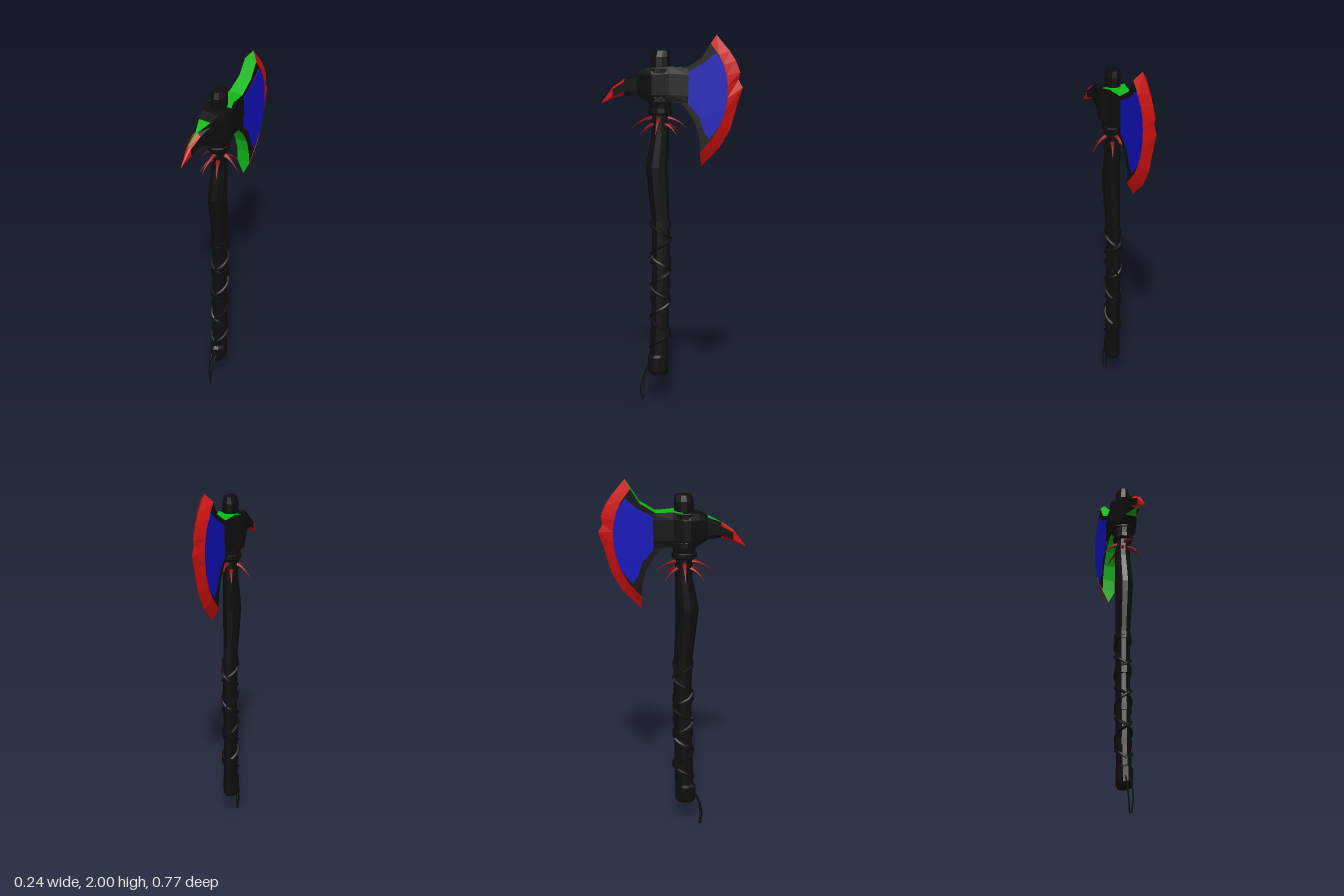
import * as THREE from 'three';

const flat = (name, color) => {
  const m = new THREE.MeshStandardMaterial({ color });
  m.name = name;
  return m;
};

export function createModel() {
  const black = flat('black', 0x0e0e0e), red = flat('red', 0xcc1010), green = flat('green', 0x10b818);
  const blue = flat('blue', 0x1010b8), darkRed = flat('dark red', 0x861414);
  const mats = [black, red, green];
  const root = new THREE.Group();
  root.name = 'battleAxe';
  const CZ = 0.06; // centre of the shaft

  const add = (name, geo, mat, parent = root) => {
    const mesh = new THREE.Mesh(geo, mat);
    mesh.name = name;
    parent.add(mesh);
    return mesh;
  };

  // Skin over closed rings; pick(segment, side) gives the material index, segment -1 and 'end' are caps
  const loft = (rings, pick = () => 0) => {
    const faces = [[], [], []];
    const tri = (m, ...p) => p.forEach(q => faces[m].push(...q));
    const n = rings[0].length;
    for (let s = 0; s < rings.length - 1; s++) {
      const A = rings[s], B = rings[s + 1];
      for (let i = 0; i < n; i++) {
        const j = (i + 1) % n, m = pick(s, i);
        tri(m, A[i], A[j], B[j]);
        tri(m, A[i], B[j], B[i]);
      }
    }
    const last = rings[rings.length - 1];
    for (let i = 1; i < n - 1; i++) {
      tri(pick(-1, 0), rings[0][0], rings[0][i + 1], rings[0][i]);
      tri(pick('end', 0), last[0], last[i], last[i + 1]);
    }
    const geo = new THREE.BufferGeometry();
    let start = 0;
    faces.forEach((f, m) => {
      if (f.length) geo.addGroup(start, f.length / 3, m);
      start += f.length / 3;
    });
    geo.setAttribute('position', new THREE.Float32BufferAttribute(faces.flat(), 3));
    geo.computeVertexNormals();
    return geo;
  };

  // Upright faceted column from [y, centre z, x radius, z radius] stations
  const column = (stations, sides = 10) => loft(stations.map(([y, cz, rx, rz]) =>
    Array.from({ length: sides }, (_, i) => {
      const a = (i / sides) * Math.PI * 2;
      return [rx * Math.sin(a), y, cz + rz * Math.cos(a)];
    })));

  // Shaft with pommel, waist and swelling below the head
  add('shaft', column([
    [0.155, 0.073, 0.036, 0.05], [0.175, 0.073, 0.043, 0.058], [0.25, 0.073, 0.043, 0.057],
    [0.265, 0.066, 0.038, 0.051], [0.5, 0.06, 0.037, 0.05], [0.75, 0.053, 0.038, 0.05],
    [1.0, 0.055, 0.037, 0.05], [1.15, 0.067, 0.042, 0.055], [1.3, 0.077, 0.047, 0.061],
    [1.4, 0.066, 0.044, 0.054], [1.48, 0.057, 0.041, 0.046], [1.66, CZ, 0.041, 0.047],
  ]), mats);

  // Crossing leather wraps on the grip
  const grip = new THREE.Group();
  grip.name = 'gripWrap';
  root.add(grip);
  for (const dir of [1, -1]) {
    const pts = Array.from({ length: 61 }, (_, i) => {
      const t = i / 60, a = dir * t * Math.PI * 8;
      return new THREE.Vector3(0.039 * Math.sin(a), 0.3 + 0.7 * t, 0.064 - 0.011 * t + 0.051 * Math.cos(a));
    });
    add('wrapStrip', new THREE.TubeGeometry(new THREE.CatmullRomCurve3(pts), 120, 0.009, 5), black, grip);
  }
  for (const y of [0.39, 0.58, 0.79, 0.99]) {
    add('wrapBand', column([[y - 0.02, 0.056, 0.044, 0.058], [y + 0.02, 0.056, 0.044, 0.058]]), mats, grip);
  }

  // Collars, socket and cap of the head
  add('lowerCollar', column([[1.58, CZ, 0.048, 0.057], [1.59, CZ, 0.053, 0.066],
    [1.61, CZ, 0.053, 0.066], [1.615, CZ, 0.046, 0.056]], 12), mats);
  add('upperCollar', column([[1.615, CZ, 0.048, 0.058], [1.655, CZ, 0.055, 0.062]], 12), mats);
  add('socket', column([[1.65, CZ, 0.072, 0.07], [1.675, CZ, 0.072, 0.07], [1.69, CZ, 0.064, 0.064],
    [1.79, CZ, 0.064, 0.064], [1.8, CZ, 0.073, 0.07], [1.825, CZ, 0.073, 0.07]], 14), mats);
  add('headCap', column([[1.8, 0.056, 0.04, 0.05], [1.885, 0.056, 0.04, 0.05],
    [1.918, 0.053, 0.031, 0.042]], 10), mats);

  // Head body running forward into the hooked spike: [z, bottom, top, outer half width, top half width]
  const headStations = [
    [-0.11, 1.645, 1.828, 0.039, 0.037], [0, 1.652, 1.835, 0.052, 0.048], [0.05, 1.65, 1.83, 0.073, 0.066],
    [0.09, 1.65, 1.83, 0.071, 0.06], [0.135, 1.66, 1.825, 0.054, 0.046], [0.18, 1.687, 1.802, 0.036, 0.034],
    [0.25, 1.688, 1.772, 0.024, 0.006], [0.315, 1.666, 1.728, 0.014, 0.004], [0.382, 1.638, 1.641, 0.001, 0.0005],
  ];
  add('headAndSpike', loft(headStations.map(([z, b, t, w, v]) => {
    const c = (t - b) * 0.2;
    const half = [[v, b], [w, b + c], [w, t - c], [v, t]];
    return [...half.map(([x, y]) => [x, y, z]), ...half.reverse().map(([x, y]) => [-x, y, z])];
  }), (s, side) => {
    if (s === 'end' || s === 7) return 1;
    const rim = side === 3 || side === 7, chamfer = side % 2 === 0;
    if (rim) return s < 2 || s > 4 ? 2 : 0;
    return chamfer && s > 5 ? 1 : 0;
  }), mats);

  // Blade plates: side outline in [-z, y], thinning evenly towards the edge
  const width = z => 0.042 + (z + 0.02) * 0.043;
  const plate = (outline, grow) => {
    const shape = new THREE.Shape(outline.map(p => new THREE.Vector2(...p)));
    const geo = new THREE.ExtrudeGeometry(shape, { depth: 2, bevelEnabled: false });
    geo.translate(0, 0, -1).rotateY(Math.PI / 2);
    const p = geo.attributes.position;
    for (let i = 0; i < p.count; i++) p.setX(i, p.getX(i) * (width(p.getZ(i)) + grow));
    geo.computeVertexNormals();
    return geo;
  };
  const inner = [[0.218, 1.955], [0.262, 1.895], [0.286, 1.846], [0.302, 1.79], [0.308, 1.735],
    [0.306, 1.67], [0.297, 1.607], [0.27, 1.53], [0.233, 1.464], [0.164, 1.385]];
  const outer = [[0.244, 2], [0.315, 1.915], [0.347, 1.865], [0.37, 1.805], [0.361, 1.767],
    [0.384, 1.725], [0.357, 1.645], [0.318, 1.505], [0.26, 1.406], [0.164, 1.31]];
  add('bladeBody', plate([[0.02, 1.833], [0.09, 1.83], [0.17, 1.88], ...inner,
    [0.16, 1.45], [0.14, 1.53], [0.1, 1.6], [0.06, 1.645], [0.02, 1.65]], 0), [black, green]);
  add('bladePanels', plate([[0.104, 1.812], [0.185, 1.855], [0.245, 1.908], ...inner.slice(2, 8),
    [0.21, 1.455], [0.182, 1.5], [0.16, 1.572], [0.1, 1.64]], 0.003), blue);
  add('cuttingEdge', loft(inner.map(([u, y], i) => {
    const w = width(-u) + 0.003;
    return [[w, y, -u], [-w, y, -u], [0, outer[i][1], -outer[i][0]]];
  }), s => (s === -1 || s === 'end' ? 2 : 1)), mats);

  // Drooping thorns around the neck: [degrees, reach, base height, droop]
  const thorns = new THREE.Group();
  thorns.name = 'thorns';
  root.add(thorns);
  for (const [deg, reach, y0, drop] of [
    [0, 0.122, 1.555, 0.085], [180, 0.122, 1.555, 0.085], [90, 0.15, 1.565, 0.055], [-90, 0.157, 1.565, 0.06],
    [63, 0.118, 1.53, 0.06], [117, 0.118, 1.53, 0.06], [-63, 0.118, 1.53, 0.065], [-117, 0.118, 1.53, 0.065],
  ]) {
    const geo = new THREE.ConeGeometry(0.014, 1, 6, 5);
    const p = geo.attributes.position;
    for (let i = 0; i < p.count; i++) {
      const t = p.getY(i) + 0.5;
      p.setXYZ(i, 0.03 + (reach - 0.03) * t, y0 - drop * t * t - p.getX(i), p.getZ(i));
    }
    geo.rotateY(THREE.MathUtils.degToRad(deg)).translate(0, 0, CZ);
    geo.computeVertexNormals();
    add('thorn', geo, darkRed, thorns);
  }

  // Two loose cords hanging from the pommel
  for (const s of [1, -1]) {
    const path = new THREE.CatmullRomCurve3([[s * 0.012, 0.21, 0.118], [s * 0.013, 0.17, 0.14],
      [s * 0.009, 0.07, 0.163 + s * 0.006], [s * 0.003, 0.002, 0.157 + s * 0.004]].map(p => new THREE.Vector3(...p)));
    add('cord', new THREE.TubeGeometry(path, 16, 0.004, 5), black);
  }
  return root;
}
